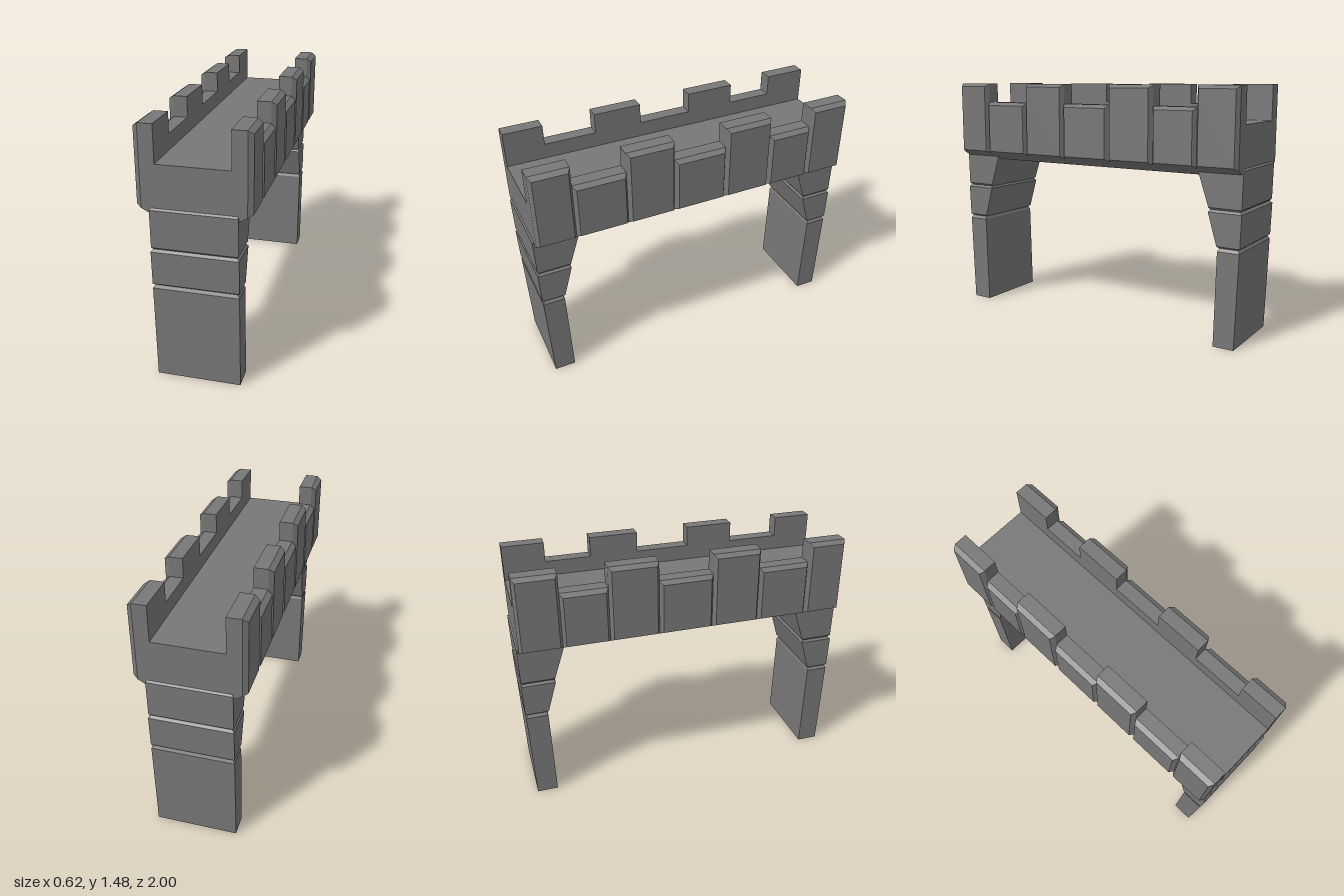
import * as THREE from 'three';

const stone = new THREE.MeshStandardMaterial({ color: 0x777777, flatShading: true });
stone.name = 'grey stone';

// Closed solid through convex cross-sections (counter-clockwise seen from the last one)
function loft(sections) {
  const pos = [];
  const tri = (a, b, c) => pos.push(...a, ...b, ...c);
  const n = sections[0].length;
  for (let i = 0; i < sections.length - 1; i++) {
    for (let j = 0; j < n; j++) {
      const k = (j + 1) % n;
      const [s, t] = [sections[i], sections[i + 1]];
      tri(s[j], s[k], t[k]);
      tri(s[j], t[k], t[j]);
    }
  }
  const first = sections[0], last = sections[sections.length - 1];
  for (let j = 1; j < n - 1; j++) {
    tri(first[0], first[j + 1], first[j]);
    tri(last[0], last[j], last[j + 1]);
  }
  const g = new THREE.BufferGeometry();
  g.setAttribute('position', new THREE.Float32BufferAttribute(pos, 3));
  g.computeVertexNormals();
  return g;
}

function part(name, geometry) {
  const m = new THREE.Mesh(geometry, stone);
  m.name = name;
  return m;
}

// Parapet block with bevelled outer edges; side is 1 or -1
function parapetBlock(z0, z1, top, side) {
  const section = (z, inset) => {
    const x = 0.31 - inset;
    const p = [[0.2, 0.98], [x, 1.04 - inset * 0.55], [x, top - 0.02 + inset * 0.6], [0.28, top], [0.2, top]]
      .map(([px, py]) => [px * side, py, z]);
    return side > 0 ? p : p.reverse();
  };
  const b = 0.017;
  return loft([section(z0, 0.028), section(z0 + b, 0), section(z1 - b, 0), section(z1, 0.028)]);
}

// Leg stone from rows of [y, half width, outer z, inner z]
function legStone(rows) {
  return loft(rows.map(([y, w, zo, zi]) => [[-w, y, zo], [w, y, zo], [w, y, zi], [-w, y, zi]]));
}

export function createModel() {
  const model = new THREE.Group();
  model.name = 'battlementBridge';

  // Walkway
  const deck = part('walkway', new THREE.BoxGeometry(0.4, 0.29, 1.98));
  deck.position.y = 1.125;
  model.add(deck);

  // Alternating tall and short battlements
  const cuts = [-0.99, -0.74, -0.465, -0.17, 0.155, 0.445, 0.757, 0.99];
  for (const side of [1, -1]) {
    const wall = new THREE.Group();
    wall.name = side > 0 ? 'leftParapet' : 'rightParapet';
    for (let i = 0; i < cuts.length - 1; i++) {
      const tall = i % 2 === 0;
      wall.add(part(tall ? 'merlon' : 'crenel', parapetBlock(cuts[i], cuts[i + 1], tall ? 1.48 : 1.36, side)));
    }
    model.add(wall);
  }

  // Legs, each a pillar with two flaring stones
  for (const name of ['frontLeg', 'backLeg']) {
    const leg = new THREE.Group();
    leg.name = name;
    leg.add(part('pillar', legStone([
      [0, 0.24, 0.972, 0.846], [0.56, 0.24, 0.99, 0.858], [0.58, 0.226, 0.978, 0.868]])));
    leg.add(part('lowerCorbel', legStone([
      [0.578, 0.228, 0.98, 0.865], [0.588, 0.24, 0.992, 0.853],
      [0.78, 0.24, 0.998, 0.796], [0.793, 0.228, 0.984, 0.806]])));
    leg.add(part('upperCorbel', legStone([
      [0.793, 0.228, 0.984, 0.806], [0.805, 0.237, 0.996, 0.797],
      [1.02, 0.237, 1, 0.725], [1.032, 0.228, 0.988, 0.735]])));
    if (name === 'backLeg') leg.rotation.y = Math.PI;
    model.add(leg);
  }
  return model;
}
